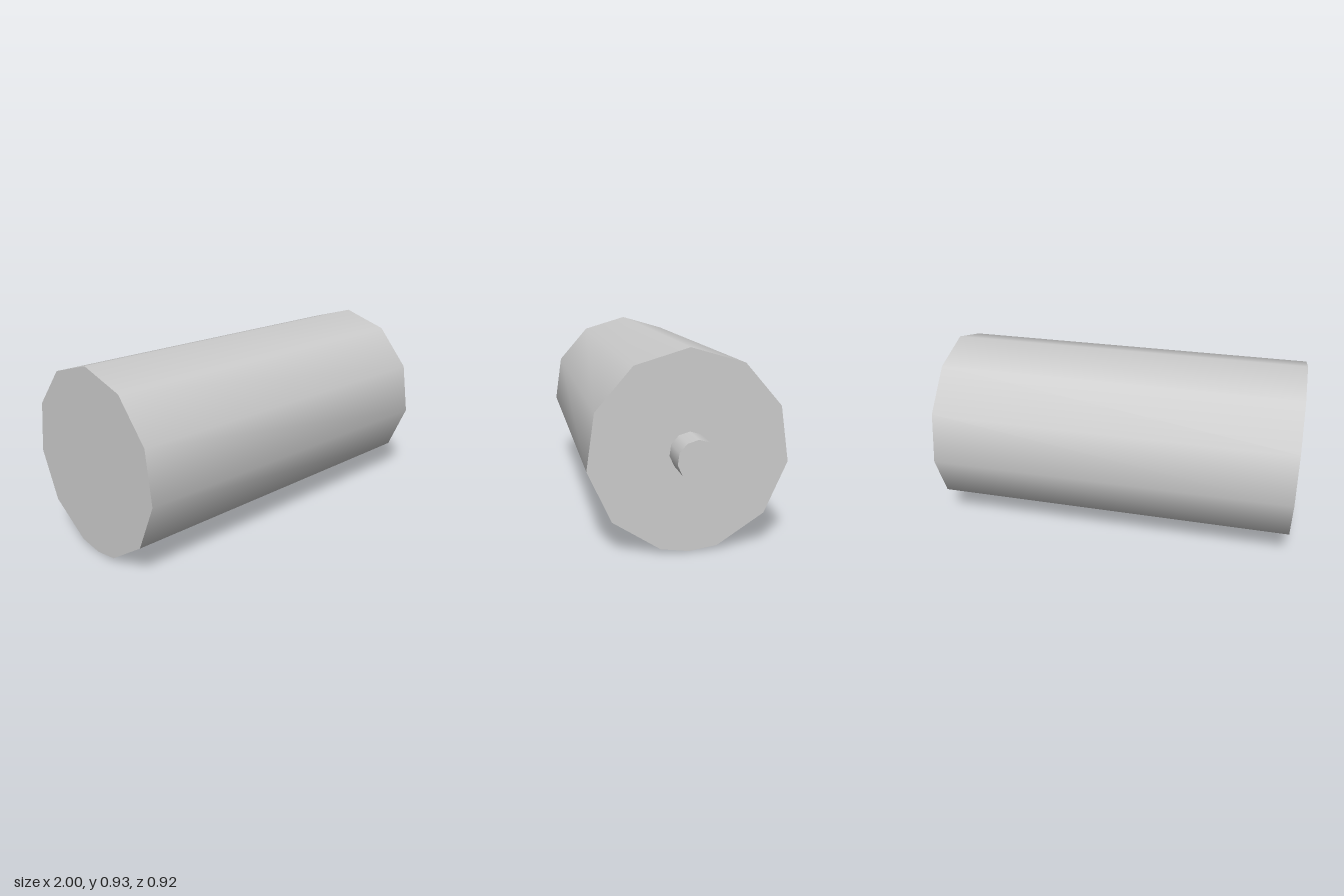
import * as THREE from 'three';

const STEP = (Math.PI * 2) / 11;
const AXIS_Y = 0.4625;

// Smooth cylinder along x whose cross-section is an 11-gon (point up)
// with one extra corner at the very bottom.
function makeDrum(name, radius, x0, x1, material) {
  const geo = new THREE.CylinderGeometry(radius, radius, x1 - x0, 12);
  const { position, normal } = geo.attributes;
  for (const attr of [position, normal]) {
    for (let i = 0; i < attr.count; i++) {
      const x = attr.getX(i), z = attr.getZ(i), r = Math.hypot(x, z);
      if (r < 1e-6) continue;
      const k = Math.round(Math.atan2(x, z) / (Math.PI / 6));
      const a = Math.sign(k) * Math.min(Math.abs(k) * STEP, Math.PI);
      attr.setX(i, r * Math.sin(a));
      attr.setZ(i, r * Math.cos(a));
    }
  }
  // Lay the cylinder down: its axis to +x, its first corner to +y
  geo.applyMatrix4(new THREE.Matrix4().makeBasis(
    new THREE.Vector3(0, 0, 1),
    new THREE.Vector3(1, 0, 0),
    new THREE.Vector3(0, 1, 0)
  ));
  const mesh = new THREE.Mesh(geo, material);
  mesh.name = name;
  mesh.position.set((x0 + x1) / 2, AXIS_Y, 0);
  return mesh;
}

export function createModel() {
  const group = new THREE.Group();
  group.name = 'drumWithPin';
  const grey = new THREE.MeshStandardMaterial({ color: 0xcccccc });

  // Main drum and the short pin on its left end
  group.add(makeDrum('body', AXIS_Y, -1, 0.842, grey));
  group.add(makeDrum('pin', 0.0925, 0.842, 1, grey));
  return group;
}
